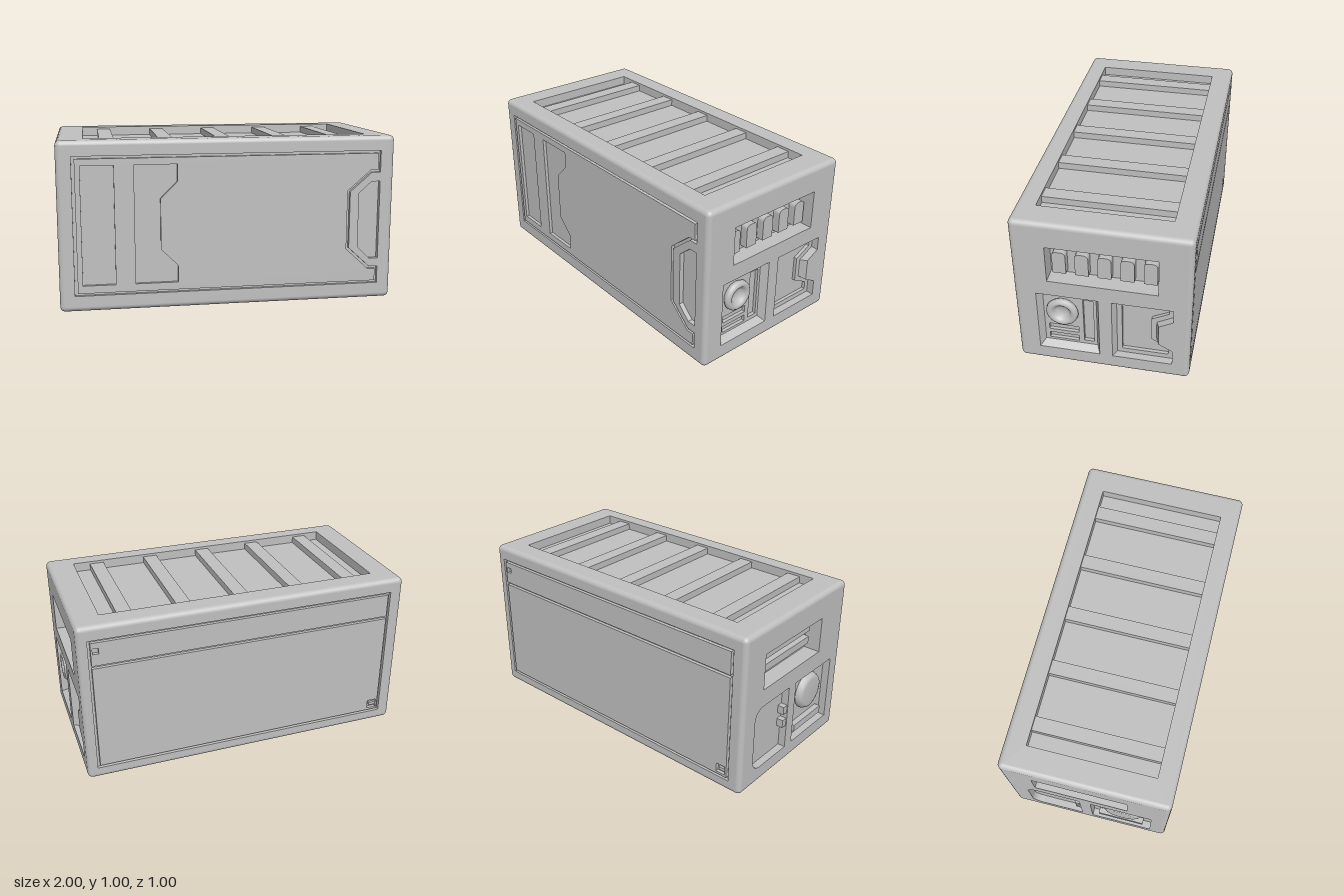
import * as THREE from 'three';
import { RoundedBoxGeometry } from 'three/addons/geometries/RoundedBoxGeometry.js';

const grey = new THREE.MeshStandardMaterial({ color: 0xc0c0c0 });
grey.name = 'light grey';

const rect = (u0, v0, u1, v1) => [[u0, v0], [u1, v0], [u1, v1], [u0, v1]];
const toShape = (pts) => new THREE.Shape(pts.map(([u, v]) => new THREE.Vector2(u, v)));
const arc = (u, v, r, a0, a1, n = 6) => Array.from({ length: n + 1 }, (_, i) => {
  const a = a0 + (a1 - a0) * i / n;
  return [u + r * Math.cos(a), v + r * Math.sin(a)];
});

function add(parent, name, geometry) {
  const mesh = new THREE.Mesh(geometry, grey);
  mesh.name = name;
  parent.add(mesh);
  return mesh;
}

// Flat slab with cut-outs, from depth w0 to w1 along the outward axis
function slab(parent, name, pts, w0, w1, holes = []) {
  const shape = toShape(pts);
  shape.holes = holes.map(toShape);
  const g = new THREE.ExtrudeGeometry(shape, { depth: w1 - w0, bevelEnabled: false });
  g.translate(0, 0, w0);
  return add(parent, name, g);
}

// Sloping pocket walls between two matching counterclockwise outlines
function slopedWalls(parent, name, outer, inner, w0, w1) {
  const p = [];
  outer.forEach((a, i) => {
    const j = (i + 1) % outer.length, b = outer[j];
    p.push(...a, w0, ...b, w0, ...inner[j], w1, ...a, w0, ...inner[j], w1, ...inner[i], w1);
  });
  const g = new THREE.BufferGeometry();
  g.setAttribute('position', new THREE.Float32BufferAttribute(p, 3));
  g.computeVertexNormals();
  return add(parent, name, g);
}

// Rounded rim of the crate: a rounded box without its flat sides, keeping the bottom
function roundedRim() {
  const src = new RoundedBoxGeometry(2, 1, 1, 3, 0.03);
  const pos = src.attributes.position, nor = src.attributes.normal, half = [1, 0.5, 0.5];
  const P = [], N = [];
  for (let i = 0; i < pos.count; i += 3) {
    const flat = half.some((h, k) => [1, -1].some((s) => !(k === 1 && s < 0) &&
      [0, 1, 2].every((j) => Math.abs(pos.getComponent(i + j, k) - s * h) < 1e-4)));
    if (flat) continue;
    for (let j = i; j < i + 3; j++) {
      P.push(pos.getX(j), pos.getY(j) + 0.5, pos.getZ(j));
      N.push(nor.getX(j), nor.getY(j), nor.getZ(j));
    }
  }
  const g = new THREE.BufferGeometry();
  g.setAttribute('position', new THREE.Float32BufferAttribute(P, 3));
  g.setAttribute('normal', new THREE.Float32BufferAttribute(N, 3));
  return g;
}

function face(root, name, x, y, z, rx, ry) {
  const g = new THREE.Group();
  g.name = name;
  g.position.set(x, y, z);
  g.rotation.set(rx, ry, 0);
  root.add(g);
  return g;
}

const LONG = rect(-0.97, 0.03, 0.97, 0.97);
const END = rect(-0.47, 0.03, 0.47, 0.97);

function buildFront(f) {
  const outline = [[-0.912, 0.095], [0.915, 0.095], [0.915, 0.2], [0.862, 0.2], [0.73, 0.32],
    [0.73, 0.665], [0.862, 0.78], [0.915, 0.78], [0.915, 0.91], [-0.912, 0.91]];
  const panel = [[-0.895, 0.11], [0.9, 0.11], [0.9, 0.185], [0.855, 0.185], [0.714, 0.314],
    [0.714, 0.671], [0.855, 0.795], [0.9, 0.795], [0.9, 0.895], [-0.895, 0.895]];
  const handle = [[0.862, 0.25], [0.915, 0.25], [0.915, 0.725], [0.862, 0.725], [0.785, 0.655], [0.785, 0.325]];
  const bracket = [[-0.56, 0.155], [-0.31, 0.155], [-0.31, 0.255], [-0.41, 0.355],
    [-0.41, 0.655], [-0.31, 0.755], [-0.31, 0.855], [-0.56, 0.855]];
  slab(f, 'frontFrame', LONG, -0.02, 0, [outline, handle]);
  slab(f, 'frontPanel', panel, -0.02, 0, [rect(-0.865, 0.155, -0.675, 0.855), bracket]);
  slab(f, 'frontGrooveFloor', LONG, -0.029, -0.02, [handle]);
}

function buildBack(f) {
  slab(f, 'backFrame', LONG, -0.02, 0, [rect(-0.94, 0.07, 0.92, 0.915)]);
  slab(f, 'backStrip', rect(-0.925, 0.757, 0.905, 0.9), -0.02, 0, [rect(-0.915, 0.83, -0.88, 0.865)]);
  slab(f, 'backPanel', rect(-0.925, 0.085, 0.905, 0.74), -0.02, 0, [rect(0.835, 0.1, 0.895, 0.155)]);
  slab(f, 'backLatch', rect(0.85, 0.115, 0.895, 0.135), -0.02, -0.005);
  slab(f, 'backGrooveFloor', LONG, -0.029, -0.02);
}

function buildTop(f) {
  slab(f, 'topFrame', rect(-0.97, -0.47, 0.97, 0.47), -0.055, 0, [rect(-0.842, -0.385, 0.842, 0.37)]);
  for (const x of [-0.705, -0.355, -0.005, 0.348, 0.695]) {
    slab(f, 'topRib', rect(x - 0.043, -0.385, x + 0.043, 0.37), -0.055, -0.015);
  }
}

function buildRight(f) {
  const win = rect(-0.305, 0.61, 0.315, 0.845);
  const pocket = rect(-0.375, 0.1, -0.02, 0.51);
  const pocketFloor = rect(-0.35, 0.125, -0.042, 0.485);
  const hatch = (l, r, n) => [[l, 0.1], [0.4, 0.1], [0.4, 0.2], [r, 0.2 + n], [r, 0.425 - n], [0.4, 0.425], [0.4, 0.51], [l, 0.51]];
  const door = [[0.105, 0.13], [0.372, 0.13], [0.372, 0.182], [0.273, 0.235],
    [0.273, 0.39], [0.372, 0.443], [0.372, 0.48], [0.105, 0.48]];
  const slots = [rect(-0.12, 0.15, -0.06, 0.46), rect(-0.325, 0.205, -0.15, 0.248), rect(-0.325, 0.14, -0.15, 0.18)];

  slab(f, 'rightFrame', END, -0.045, 0, [win, pocket, hatch(0.055, 0.32, 0.045)]);
  slab(f, 'rightPocketFloor', END, -0.065, -0.045, [win, door, ...slots]);
  slab(f, 'rightSlotFloor', END, -0.1, -0.065, [win]);
  slopedWalls(f, 'rightPocketBevel', pocket, pocketFloor, 0, -0.045);
  slopedWalls(f, 'rightHatchBevel', hatch(0.055, 0.32, 0.045), hatch(0.075, 0.302, 0.055), 0, -0.045);
  slopedWalls(f, 'rightWindowWalls', win, rect(-0.305, 0.61, 0.315, 0.81), 0, -0.1);

  // Row of arched blocks in the window
  for (let i = 0; i < 5; i++) {
    const u = -0.247 + i * 0.1275, r = 0.025, h = 0.038;
    const pts = [[u - h, 0.632], [u + h, 0.632], ...arc(u + h - r, 0.75, r, 0, Math.PI / 2, 4),
      ...arc(u - h + r, 0.75, r, Math.PI / 2, Math.PI, 4)];
    slab(f, 'archedBlock', pts, -0.1, -0.055);
  }

  // Ring knob with a dished centre
  const profile = [[0.085, 0], [0.093, 0.014], [0.09, 0.03], [0.078, 0.041], [0.062, 0.04], [0.051, 0.03], [0.031, 0.008], [0, 0.008]];
  const knob = add(f, 'ringKnob', new THREE.LatheGeometry(profile.map(([r, y]) => new THREE.Vector2(r, y)).reverse(), 24));
  knob.geometry.scale(1, 1, 1).rotateX(Math.PI / 2);
  knob.material = knobMaterial();
  knob.position.set(-0.237, 0.37, -0.046);
}

// Same grey; the thin lathe shell shows from both sides
let doubleGrey;
function knobMaterial() {
  if (!doubleGrey) {
    doubleGrey = grey.clone();
    doubleGrey.side = THREE.DoubleSide;
  }
  return doubleGrey;
}

function buildLeft(f) {
  const win = rect(-0.315, 0.62, 0.25, 0.84);
  const door = [[-0.05, 0.1], [-0.05, 0.51], ...arc(-0.31, 0.44, 0.07, Math.PI / 2, Math.PI),
    ...arc(-0.31, 0.17, 0.07, Math.PI, Math.PI * 1.5)].reverse();
  const pocket = rect(0.02, 0.1, 0.4, 0.51);
  slab(f, 'leftFrame', END, -0.045, 0, [win, door, pocket]);
  slab(f, 'leftPocketFloor', END, -0.1, -0.045, [win]);
  for (const v of [0.67, 0.75]) slab(f, 'louvre', rect(-0.315, v, 0.22, v + 0.045), -0.1, -0.06);
  for (const v of [0.25, 0.34]) slab(f, 'doorHinge', rect(-0.085, v, -0.045, v + 0.05), -0.045, -0.005);
  slab(f, 'pocketBar', rect(0.06, 0.145, 0.35, 0.19), -0.045, -0.01);

  // Domed round button
  const dome = [[0, 0.042], [0.085, 0.042], [0.105, 0.034], [0.115, 0.015], [0.115, 0]];
  const button = add(f, 'roundButton', new THREE.LatheGeometry(dome.map(([r, y]) => new THREE.Vector2(r, y)), 24));
  button.geometry.rotateX(Math.PI / 2);
  button.material = knobMaterial();
  button.position.set(0.215, 0.36, -0.046);
}

export function createModel() {
  const root = new THREE.Group();
  root.name = 'crate';
  add(root, 'roundedRim', roundedRim());

  // Inner block behind all the recesses
  const core = add(root, 'innerBlock', new THREE.BoxGeometry(1.8, 0.915, 0.944));
  core.position.y = 0.4875;

  const q = Math.PI / 2;
  buildFront(face(root, 'frontSide', 0, 0, 0.5, 0, 0));
  buildBack(face(root, 'backSide', 0, 0, -0.5, 0, Math.PI));
  buildRight(face(root, 'rightEnd', 1, 0, 0, 0, q));
  buildLeft(face(root, 'leftEnd', -1, 0, 0, 0, -q));
  buildTop(face(root, 'topSide', 0, 1, 0, -q, 0));
  return root;
}
